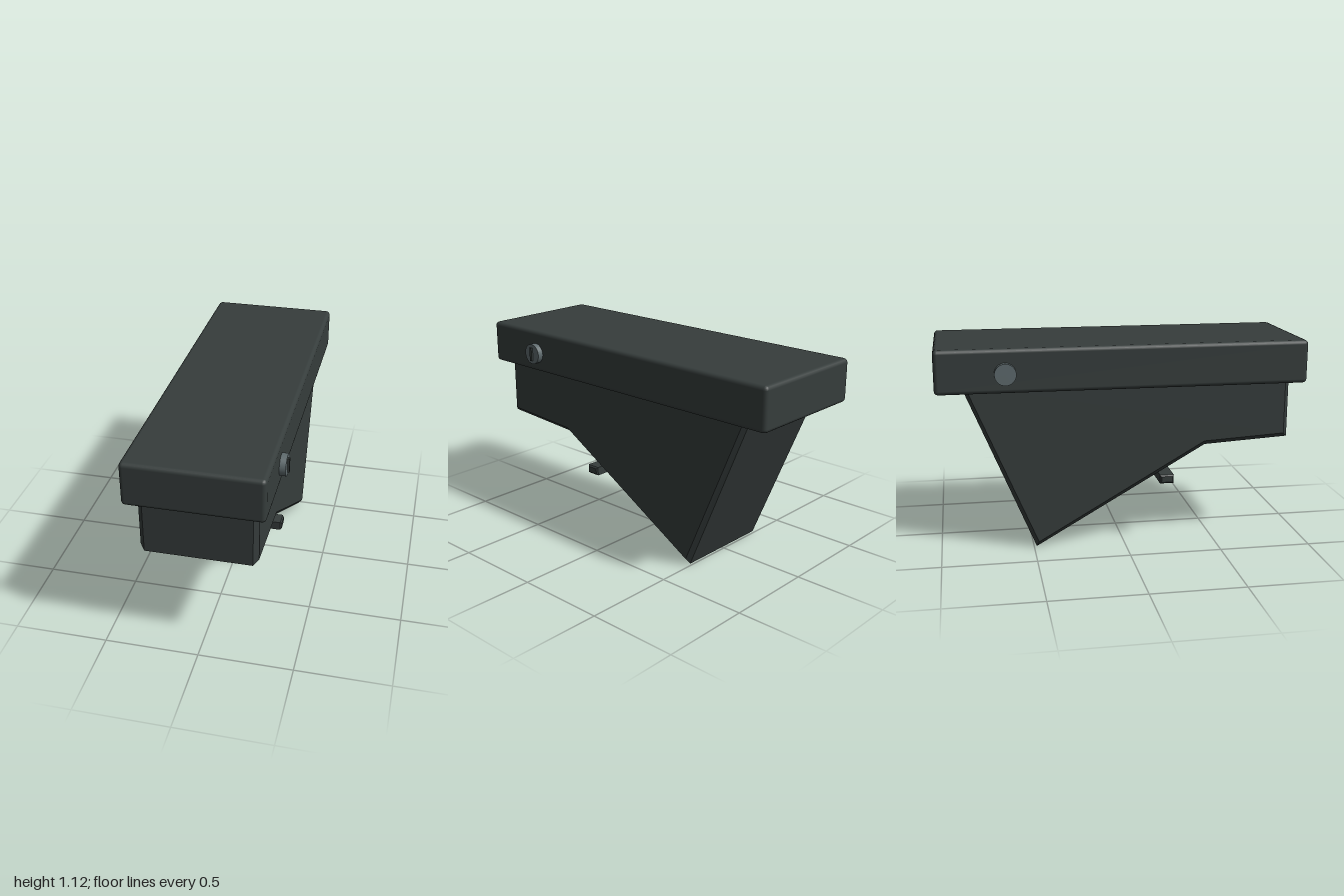
import * as THREE from 'three';
import { RoundedBoxGeometry } from 'three/addons/geometries/RoundedBoxGeometry.js';

const casing = new THREE.MeshStandardMaterial({ color: 0x363d3c });
casing.name = 'dark grey casing';
const metal = new THREE.MeshStandardMaterial({ color: 0x5f6b6e });
metal.name = 'grey metal';

const CX = -0.007; // middle of the casing across x

// Extrudes a (z, y) outline across x between x0 and x1, chamfering its side edges inward
function chamferedProfile(points, x0, x1, bevel) {
  const shape = new THREE.Shape(points.map(([z, y]) => new THREE.Vector2(z, y)));
  const geometry = new THREE.ExtrudeGeometry(shape, {
    depth: x1 - x0 - 2 * bevel,
    bevelEnabled: true,
    bevelSegments: 1,
    bevelSize: bevel,
    bevelThickness: bevel,
    bevelOffset: -bevel,
  });
  geometry.rotateY(-Math.PI / 2);
  geometry.translate(x1 - bevel, 0, 0);
  return geometry;
}

export function createModel() {
  const model = new THREE.Group();
  model.name = 'consoleBox';

  function add(name, geometry, material, x = 0, y = 0, z = 0) {
    const mesh = new THREE.Mesh(geometry, material);
    mesh.name = name;
    mesh.position.set(x, y, z);
    model.add(mesh);
    return mesh;
  }

  // Long padded lid
  add('lid', new RoundedBoxGeometry(0.705, 0.235, 2, 2, 0.022), casing, CX, 0.9975, 0);

  // Wedge-shaped body, its top tucked into the lid
  const outline = [[0.92, 0.95], [0.92, 0.567], [0.452, 0.54], [-0.485, 0], [-0.879, 0.95]];
  add('body', chamferedProfile(outline, -0.308, 0.295, 0.025), casing);

  // Free bar below the sloping underside
  const bar = [[0.277, 0.33], [0.277, 0.378], [0.2, 0.378], [0.2, 0.33]];
  add('crossBar', chamferedProfile(bar, -0.308, 0.295, 0.008), casing);

  // Round lock on the left side and plain button diagonally opposite
  for (const [name, x0, x1, z] of [['lock', 0.33, 0.378, 0.632], ['button', -0.392, -0.345, -0.635]]) {
    const disc = new THREE.CylinderGeometry(0.057, 0.057, x1 - x0, 32);
    disc.rotateZ(Math.PI / 2);
    add(name, disc, metal, (x0 + x1) / 2, 0.986, z);
  }
  add('lockKeyway', new THREE.BoxGeometry(0.02, 0.076, 0.016), casing, 0.378, 0.986, 0.632);

  return model;
}
